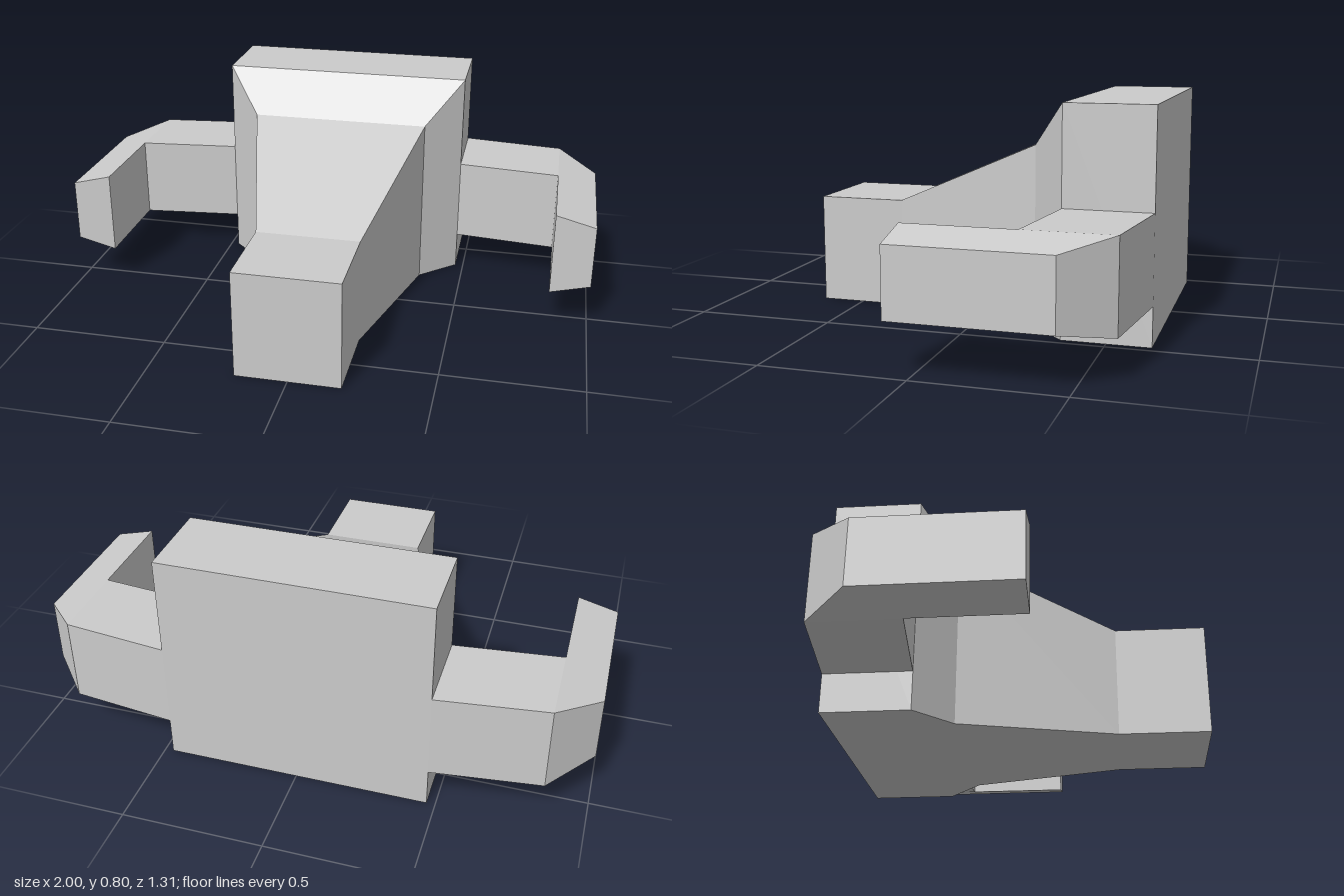
import * as THREE from 'three';

const material = new THREE.MeshStandardMaterial({ color: 0xcccccc, flatShading: true });

// Skin four-cornered rings, each counterclockwise seen from ahead, and cap both ends.
function loft(name, rings) {
  const positions = [];
  const triangle = (a, b, c) => {
    const area = new THREE.Triangle(a, b, c).getArea();
    if (area > 1e-6) for (const p of [a, b, c]) positions.push(p.x, p.y, p.z);
  };
  const quad = (a, b, c, d) => { triangle(a, b, c); triangle(a, c, d); };
  for (let k = 0; k < rings.length - 1; k++) {
    for (let i = 0; i < 4; i++) {
      const j = (i + 1) % 4;
      quad(rings[k][i], rings[k][j], rings[k + 1][j], rings[k + 1][i]);
    }
  }
  quad(...[...rings[0]].reverse());
  quad(...rings[rings.length - 1]);
  const geometry = new THREE.BufferGeometry();
  geometry.setAttribute('position', new THREE.Float32BufferAttribute(positions, 3));
  geometry.computeVertexNormals();
  const mesh = new THREE.Mesh(geometry, material);
  mesh.name = name;
  return mesh;
}

const V = (x, y, z) => new THREE.Vector3(x, y, z);

// Body: flat-bottomed rectangles [z, half width, height] from back to nose
function createBody() {
  const sections = [
    [-0.655, 0.47, 0.8],
    [-0.345, 0.47, 0.8],
    [-0.22, 0.335, 0.643],
    [0.335, 0.19, 0.4],
    [0.655, 0.19, 0.4],
  ];
  return loft('body', sections.map(([z, w, h]) =>
    [V(-w, 0, z), V(w, 0, z), V(w, h, z), V(-w, h, z)]));
}

// Arm: out from the body, round a chamfered elbow, then forward.
// Each section is [inner x, inner z, outer x, outer z, outer bottom, outer top].
function createArm(name, side) {
  const bottom = 0.14, top = 0.45;
  const sections = [
    [0.47, -0.345, 0.47, -0.655, bottom, top],
    [0.853, -0.305, 0.853, -0.61, bottom, top],
    [0.853, -0.305, 1, -0.457, 0.177, 0.412],
    [0.853, 0.078, 1, 0.078, 0.177, 0.412],
  ];
  return loft(name, sections.map(([xi, zi, xo, zo, low, high]) => {
    const ring = [
      V(side * xi, bottom, zi), V(side * xo, low, zo),
      V(side * xo, high, zo), V(side * xi, top, zi),
    ];
    return side > 0 ? ring : ring.reverse();
  }));
}

export function createModel() {
  const model = new THREE.Group();
  model.name = 'model';
  model.add(createBody(), createArm('leftArm', 1), createArm('rightArm', -1));
  return model;
}
